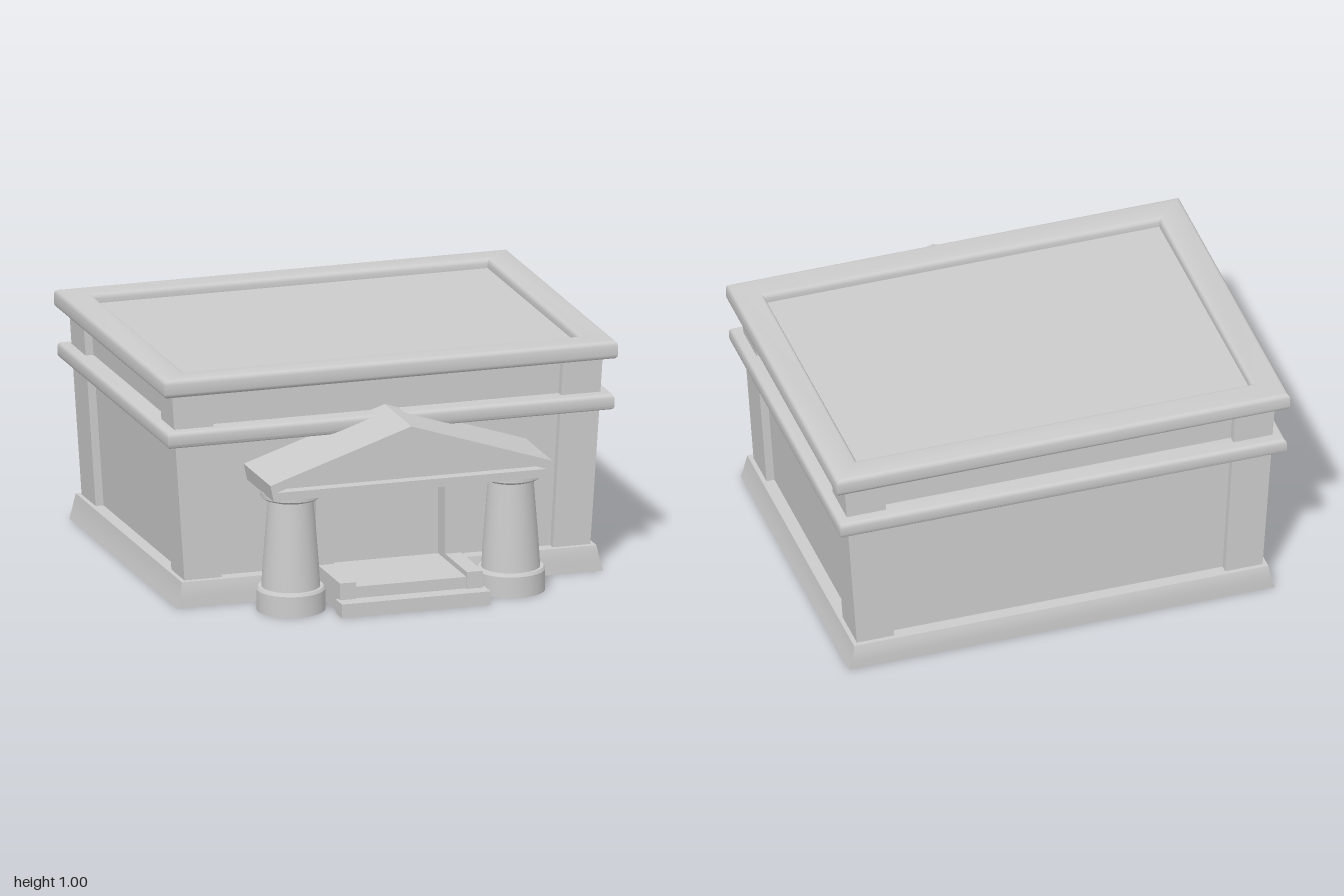
import * as THREE from 'three';
import { toCreasedNormals } from 'three/addons/utils/BufferGeometryUtils.js';

const material = new THREE.MeshStandardMaterial({ color: 0xcccccc, side: THREE.DoubleSide });
const MID_Z = -0.167; // centre of the main block, front to back

function add(parent, name, geometry, x = 0, y = 0, z = 0) {
  const mesh = new THREE.Mesh(geometry, material);
  mesh.name = name;
  mesh.position.set(x, y, z);
  parent.add(mesh);
  return mesh;
}

function box(parent, name, x0, x1, y0, y1, z0, z1) {
  return add(parent, name, new THREE.BoxGeometry(x1 - x0, y1 - y0, z1 - z0),
    (x0 + x1) / 2, (y0 + y1) / 2, (z0 + z1) / 2);
}

// Complete a right-hand plan [x, z] with its mirrored left half
const mirrorPlan = (half) => [...half, ...half.map(([x, z]) => [-x, z]).reverse()];

// Skin between plans stacked at given heights
function loft(levels) {
  const pos = [];
  for (let l = 0; l < levels.length - 1; l++) {
    const lo = levels[l], hi = levels[l + 1];
    for (let i = 0; i < lo.plan.length - 1; i++) {
      const at = (lev, k) => [lev.plan[k][0], lev.y, lev.plan[k][1]];
      const a = at(lo, i), b = at(lo, i + 1), c = at(hi, i + 1), d = at(hi, i);
      pos.push(...a, ...b, ...c, ...a, ...c, ...d);
    }
  }
  const g = new THREE.BufferGeometry();
  g.setAttribute('position', new THREE.Float32BufferAttribute(pos, 3));
  g.computeVertexNormals();
  return toCreasedNormals(g, 0.6);
}

// Wall plan with projecting corner piers; the walls lean outward in x as they rise
function wallLevel(y, gap) {
  const s = 1 + 0.061 * (y - 0.11) / 0.81;
  const X = 0.895 * s, P = 0.73 * s, d = 0.035;
  const F = 0.525, B = -0.86;
  return { y, plan: mirrorPlan([
    [gap, F - d], [P, F - d], [P, F], [X, F], [X, 0.35], [X - d, 0.35],
    [X - d, -0.67], [X, -0.67], [X, B], [P, B], [P, B + d],
  ]) };
}

function baseLevel(y, X, F, B) {
  return { y, plan: mirrorPlan([[0.33, F], [X, F], [X, B]]) };
}

// Rounded rectangular ring around the block
function band(parent, name, halfX, halfZ, width, y0, y1, bevel) {
  const rect = (C, x, z) => {
    const p = new C();
    p.moveTo(-x, -z); p.lineTo(x, -z); p.lineTo(x, z); p.lineTo(-x, z); p.closePath();
    return p;
  };
  const shape = rect(THREE.Shape, halfX - bevel, halfZ - bevel);
  shape.holes.push(rect(THREE.Path, halfX - width, halfZ - width));
  const g = new THREE.ExtrudeGeometry(shape, {
    depth: y1 - y0 - 2 * bevel, bevelThickness: bevel, bevelSize: bevel, bevelSegments: 3,
  });
  g.rotateX(-Math.PI / 2);
  add(parent, name, toCreasedNormals(g, 0.7), 0, y0 + bevel, MID_Z);
}

function polygon(C, pts) {
  return new C(pts.map(([x, y]) => new THREE.Vector2(x, y)));
}

export function createModel() {
  const model = new THREE.Group();
  model.name = 'building';

  // Flared plinth, open below and broken at the entrance
  add(model, 'plinth', loft([
    baseLevel(0, 0.94, 0.56, -0.89), baseLevel(0.04, 0.928, 0.558, -0.89),
    baseLevel(0.08, 0.919, 0.556, -0.888), baseLevel(0.11, 0.914, 0.55, -0.88),
    baseLevel(0.11, 0.84, 0.47, -0.81),
  ]));

  // Walls, with a doorway in the lower part
  add(model, 'lowerWalls', loft([wallLevel(0.11, 0.33), wallLevel(0.53, 0.33)]));
  add(model, 'upperWalls', loft([wallLevel(0.53, 0), wallLevel(0.93, 0)]));

  // Horizontal bands and recessed roof
  band(model, 'middleBand', 0.985, 0.745, 0.15, 0.7, 0.77, 0.018);
  band(model, 'roofRim', 1.0, 0.745, 0.11, 0.92, 1.0, 0.02);
  box(model, 'roof', -0.93, 0.93, 0.935, 0.96, MID_Z - 0.69, MID_Z + 0.69);

  // Doorway
  const entrance = new THREE.Group();
  entrance.name = 'entrance';
  model.add(entrance);
  box(entrance, 'door', -0.26, 0.26, 0.11, 0.53, 0.44, 0.46);
  box(entrance, 'lintel', -0.33, 0.33, 0.5, 0.56, 0.44, 0.55);
  for (const s of [-1, 1]) {
    const post = box(entrance, 'doorPost', -0.04, 0.04, 0.11, 0.53, 0.44, 0.555);
    post.position.x = s * 0.285;
    // Kerb beside the landing
    const kerb = box(entrance, 'kerb', -0.035, 0.035, 0, 0.133, 0.45, 0.85);
    kerb.position.x = s * 0.28;
  }
  box(entrance, 'landing', -0.25, 0.25, 0.06, 0.11, 0.45, 0.84);
  box(entrance, 'step', -0.328, 0.328, 0, 0.06, 0.83, 0.915);

  // Tapered columns, hollow at the foot
  const profile = [
    [0.118, 0], [0.145, 0], [0.145, 0.09], [0.138, 0.102], [0.124, 0.102], [0.118, 0.2],
    [0.096, 0.48], [0.117, 0.487], [0.127, 0.495], [0.127, 0.517], [0, 0.517],
  ].map(([r, y]) => new THREE.Vector2(r, y));
  const columnGeometry = toCreasedNormals(new THREE.LatheGeometry(profile, 32), 0.5);
  for (const s of [-1, 1]) add(model, 'column', columnGeometry, s * 0.485, 0, 0.705);

  // Porch gable: a deep frame with a recessed triangular panel
  const gable = new THREE.Group();
  gable.name = 'porchGable';
  model.add(gable);
  const frame = polygon(THREE.Shape, [
    [-0.607, 0.515], [0.607, 0.515], [0.622, 0.585], [0, 0.79], [-0.622, 0.585],
  ]);
  const triangle = [[-0.595, 0.552], [0.595, 0.552], [0, 0.754]];
  frame.holes.push(polygon(THREE.Path, triangle));
  const flat = (depth) => ({ depth, bevelEnabled: false });
  add(gable, 'gableFrame', new THREE.ExtrudeGeometry(frame, flat(0.4)), 0, 0, 0.45);
  add(gable, 'gablePanel', new THREE.ExtrudeGeometry(polygon(THREE.Shape, triangle), flat(0.3)), 0, 0, 0.5);

  return model;
}
